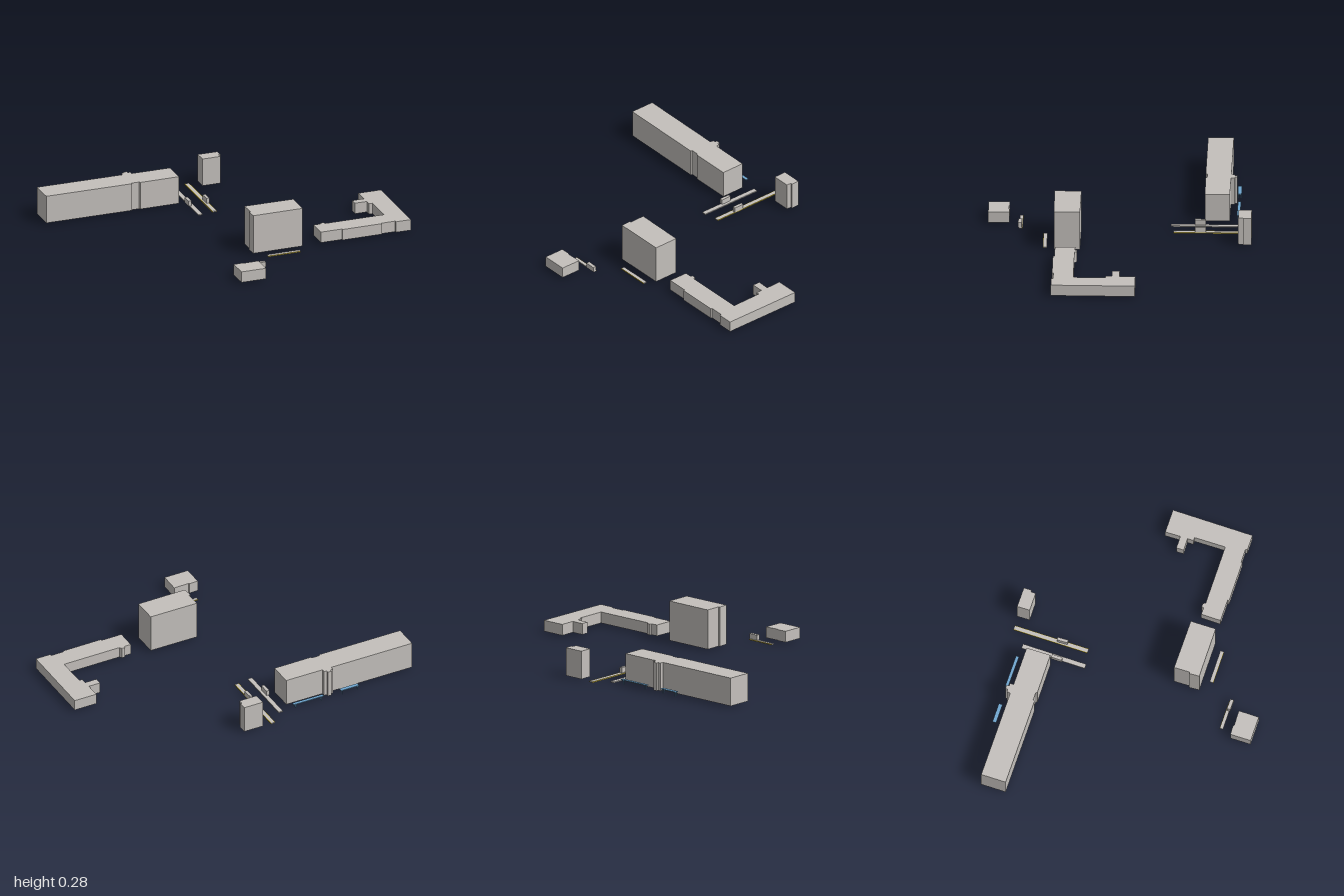
import * as THREE from 'three';

const material = (name, color, opts = {}) => {
  const m = new THREE.MeshStandardMaterial({ color, ...opts });
  m.name = name;
  return m;
};

export function createModel() {
  const model = new THREE.Group();
  model.name = 'stationDistrict';
  const stone = material('warmGrey', 0xc4c0bc);
  const yellow = material('edgeYellow', 0xc6b24a);
  const blue = material('canopyBlue', 0x6fa6d0);

  // Upright prism over a ground outline of [x, z] points
  function prism(name, outline, y0, y1, mat, parent = model) {
    const shape = new THREE.Shape(outline.map(([x, z]) => new THREE.Vector2(x, -z)));
    const geo = new THREE.ExtrudeGeometry(shape, { depth: y1 - y0, bevelEnabled: false });
    geo.rotateX(-Math.PI / 2);
    geo.translate(0, y0, 0);
    const mesh = new THREE.Mesh(geo, mat);
    mesh.name = name;
    parent.add(mesh);
    return mesh;
  }

  // Point inside a four-cornered outline: u along the first edge, v across it
  const within = ([a, b, , d], u, v) =>
    [0, 1].map((i) => a[i] + (b[i] - a[i]) * u + (d[i] - a[i]) * v);
  const patch = (q, u0, u1, v0, v1) =>
    [[u0, v0], [u1, v0], [u1, v1], [u0, v1]].map(([u, v]) => within(q, u, v));

  const BASE = 0.01;

  // Long slab building with a stair tower at the back and a shallow front recess
  prism('longBuilding', [
    [-0.945, -0.94], [-0.36, -0.745], [-0.35, -0.768], [-0.332, -0.762], [-0.327, -0.778],
    [-0.302, -0.769], [-0.307, -0.753], [-0.289, -0.746], [-0.298, -0.723],
    [-0.035, -0.635], [-0.087, -0.475], [-0.352, -0.561], [-0.357, -0.573],
    [-0.408, -0.59], [-0.413, -0.58], [-1.0, -0.775],
  ], BASE, 0.205, stone);

  // Small tower with a stepped corner
  prism('smallTower', [
    [0.262, -0.70], [0.396, -0.655], [0.38, -0.602], [0.367, -0.606],
    [0.357, -0.575], [0.235, -0.615],
  ], BASE, 0.205, stone);

  // Tall block with a side step
  prism('tallBlock', [
    [-0.203, 0.36], [0.13, 0.472], [0.075, 0.64], [-0.265, 0.53],
    [-0.247, 0.462], [-0.236, 0.465],
  ], BASE, 0.285, stone);

  // Low L-shaped building with its porches
  prism('angledBuilding', [
    [0.252, 0.542], [0.298, 0.557], [0.304, 0.544], [0.328, 0.552], [0.333, 0.572],
    [0.735, 0.703], [0.802, 0.496], [0.78, 0.489], [0.794, 0.449], [0.712, 0.423],
    [0.728, 0.373], [0.81, 0.4], [0.842, 0.298], [1.0, 0.35], [0.818, 0.887],
    [0.715, 0.853], [0.719, 0.84], [0.625, 0.81], [0.621, 0.818], [0.35, 0.73],
    [0.353, 0.72], [0.207, 0.672],
  ], BASE, 0.087, stone);

  // Low square block
  prism('lowBlock', [
    [-0.61, 0.74], [-0.548, 0.758], [-0.545, 0.766], [-0.44, 0.797],
    [-0.487, 0.932], [-0.655, 0.877],
  ], BASE, 0.087, stone);

  // Platforms: a thin slab, with yellow edging along the chosen sides
  function platform(name, q, edges) {
    const group = new THREE.Group();
    group.name = name;
    const lo = edges.includes(0) ? 0.14 : 0;
    const hi = edges.includes(1) ? 0.86 : 1;
    prism('platformSlab', patch(q, 0, 1, lo, hi), 0, 0.008, stone, group);
    if (lo > 0) prism('platformEdge', patch(q, 0, 1, 0, lo), 0, 0.008, yellow, group);
    if (hi < 1) prism('platformEdge', patch(q, 0, 1, hi, 1), 0, 0.008, yellow, group);
    model.add(group);
  }
  platform('innerPlatform', [[0.035, -0.67], [-0.11, -0.243], [-0.078, -0.233], [0.065, -0.66]], []);
  platform('outerPlatform', [[0.167, -0.725], [0.0, -0.226], [0.031, -0.215], [0.198, -0.715]], [0, 1]);
  platform('blockPlatform', [[-0.203, 0.6], [0.02, 0.672], [0.011, 0.697], [-0.213, 0.625]], [1]);
  platform('cornerPlatform', [[-0.537, 0.668], [-0.343, 0.732], [-0.35, 0.753], [-0.545, 0.69]], [0]);

  // Waiting shelters
  const shelters = [
    [[-0.042, -0.47], [-0.022, -0.463], [-0.045, -0.392], [-0.066, -0.399]],
    [[0.082, -0.432], [0.101, -0.426], [0.08, -0.354], [0.06, -0.361]],
    [[-0.41, 0.716], [-0.342, 0.74], [-0.348, 0.763], [-0.416, 0.74]],
  ];
  for (const q of shelters) prism('waitingShelter', q, 0.008, 0.044, stone);

  // Blue canopies: a flat roof on slim posts
  const canopies = [
    [[-0.506, -0.865], [-0.376, -0.822], [-0.384, -0.797], [-0.514, -0.84]],
    [[-0.252, -0.78], [-0.033, -0.707], [-0.04, -0.686], [-0.259, -0.761]],
  ];
  for (const q of canopies) {
    const group = new THREE.Group();
    group.name = 'canopy';
    prism('canopyRoof', q, 0.037, 0.043, blue, group);
    for (const u of [0.08, 0.92]) {
      for (const v of [0.2, 0.8]) {
        const [x, z] = within(q, u, v);
        const post = new THREE.Mesh(new THREE.BoxGeometry(0.004, 0.03, 0.004), blue);
        post.name = 'canopyPost';
        post.position.set(x, 0.023, z);
        group.add(post);
      }
    }
    model.add(group);
  }

  return model;
}
